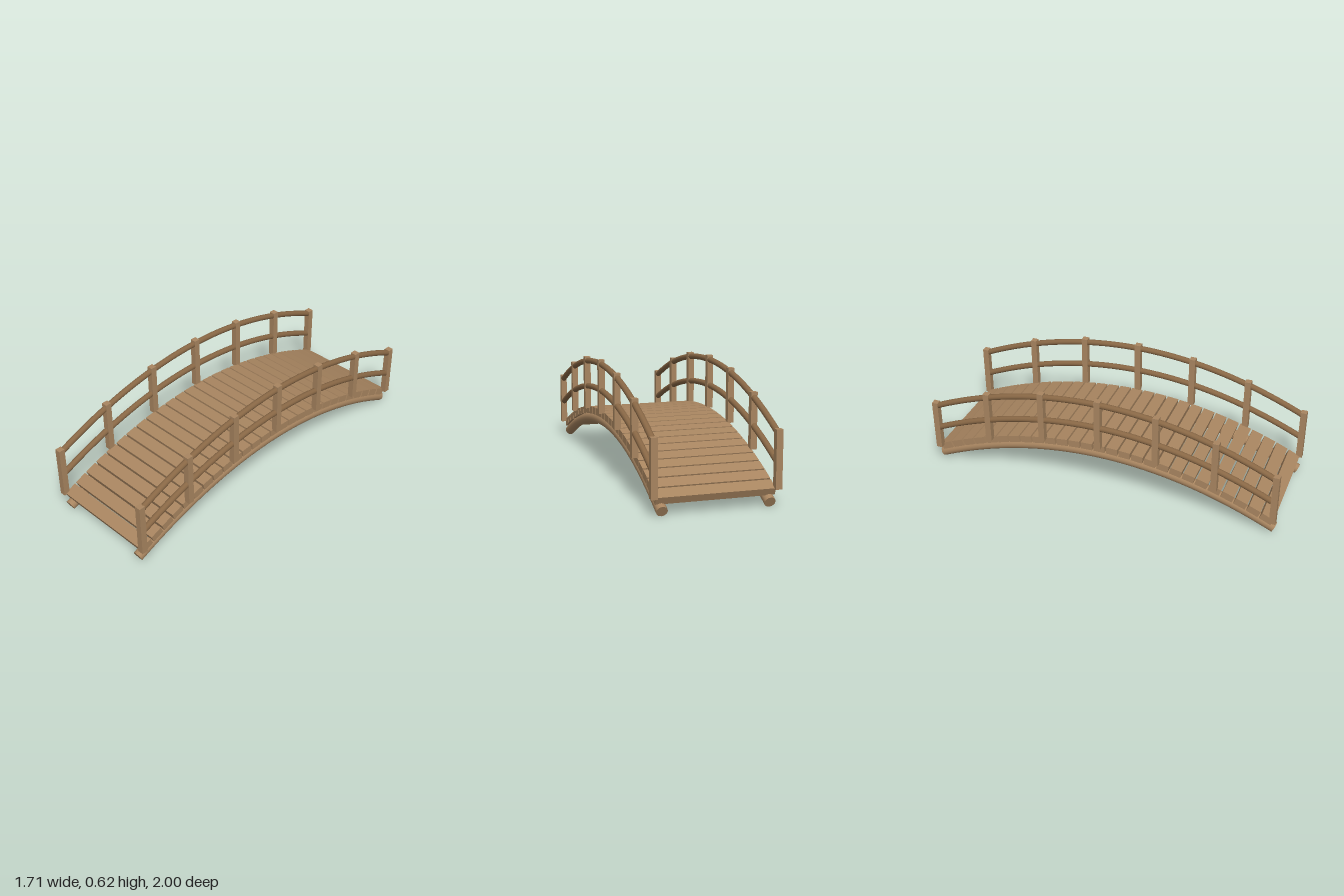
import * as THREE from 'three';

const wood = new THREE.MeshStandardMaterial({ color: 0xa88560 });
wood.name = 'light wood';
const darkWood = new THREE.MeshStandardMaterial({ color: 0x886745 });
darkWood.name = 'rail wood';

const HALF = 0.977;                       // half length between end posts
const BEND = 0.241;                       // drop of the arch = BEND * s^2
const drop = (s) => BEND * s * s;

function add(parent, name, geometry, material, x = 0, y = 0, z = 0) {
  const mesh = new THREE.Mesh(geometry, material);
  mesh.name = name;
  mesh.position.set(x, y, z);
  parent.add(mesh);
  return mesh;
}

// Round log following the arch, closed at both ends
function archLog(parent, name, crest, half, radius, z, material) {
  const low = crest - drop(half);
  const curve = new THREE.QuadraticBezierCurve3(
    new THREE.Vector3(-half, low, z),
    new THREE.Vector3(0, 2 * crest - low, z),
    new THREE.Vector3(half, low, z));
  const log = new THREE.Group();
  log.name = name;
  add(log, name + 'Body', new THREE.TubeGeometry(curve, 48, radius, 16), material);
  for (const t of [0, 1]) {
    const p = curve.getPoint(t);
    const out = curve.getTangent(t).multiplyScalar(t ? 1 : -1);
    const cap = add(log, name + 'End', new THREE.CircleGeometry(radius, 16), material, p.x, p.y, p.z);
    cap.quaternion.setFromUnitVectors(new THREE.Vector3(0, 0, 1), out);
  }
  parent.add(log);
}

export function createModel() {
  const model = new THREE.Group();
  model.name = 'footbridge';
  const bridge = new THREE.Group();
  bridge.name = 'archedBridge';
  bridge.rotation.y = THREE.MathUtils.degToRad(54);
  model.add(bridge);

  // Deck planks tilted along the arch
  const count = 27;
  const pitch = (2 * HALF) / count;
  for (let i = 0; i < count; i++) {
    const s = -HALF + (i + 0.5) * pitch;
    const slope = Math.atan(-2 * BEND * s);
    const length = pitch / Math.cos(slope) - 0.009;
    const plank = add(bridge, 'plank', new THREE.BoxGeometry(length, 0.04, 0.61), wood,
      s, 0.304 - drop(s), 0);
    plank.rotation.z = slope;
  }

  for (const side of [-1, 1]) {
    const name = side > 0 ? 'front' : 'back';
    // Supporting log under the deck edge
    archLog(bridge, name + 'Beam', 0.258, 0.98, 0.029, side * 0.275, wood);
    // Upright posts
    for (let i = -3; i <= 3; i++) {
      const s = (i / 3) * HALF;
      add(bridge, name + 'Post', new THREE.BoxGeometry(0.034, 0.298, 0.034), wood,
        s, 0.468 - drop(s), side * 0.315);
    }
    // Handrail and middle rail
    archLog(bridge, name + 'Handrail', 0.592, HALF, 0.0165, side * 0.315, darkWood);
    archLog(bridge, name + 'MiddleRail', 0.446, HALF, 0.0165, side * 0.315, darkWood);
  }
  return model;
}
